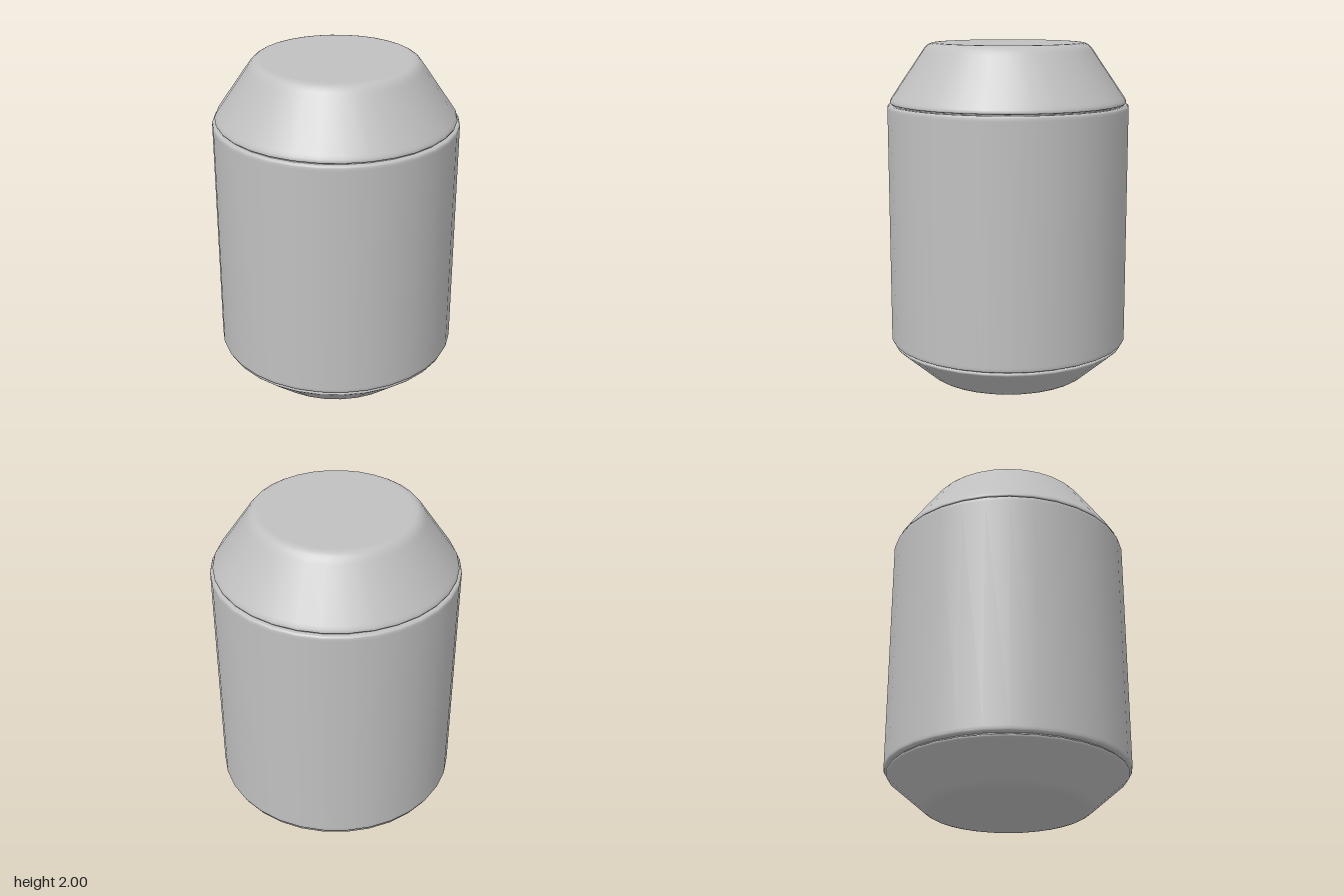
import * as THREE from 'three';

const SIDES = 32;

export function createModel() {
  const group = new THREE.Group();
  group.name = 'canister';
  const grey = new THREE.MeshStandardMaterial({ color: 0xc0c0c0 });
  grey.name = 'grey';

  // Each part is a closed turned solid; profile points run from bottom to top.
  const turn = (name, profile) => {
    const points = profile.map(([r, y]) => new THREE.Vector2(r, y));
    const mesh = new THREE.Mesh(new THREE.LatheGeometry(points, SIDES), grey);
    mesh.name = name;
    group.add(mesh);
  };

  // Shallow tapered base with rounded edges
  turn('base', [
    [0, 0], [0.42, 0], [0.44, 0.001], [0.463, 0.007], [0.485, 0.02], [0.5, 0.033],
    [0.675, 0.184], [0.69, 0.198], [0.695, 0.206], [0.692, 0.212], [0.682, 0.215],
    [0.67, 0.215], [0, 0.215],
  ]);

  // Narrow necks set back in the grooves
  turn('lowerNeck', [[0.68, 0.21], [0.68, 0.23]]);
  turn('upperNeck', [[0.68, 1.635], [0.68, 1.655]]);

  // Straight barrel with small bevels
  turn('barrel', [
    [0, 0.222], [0.685, 0.222], [0.697, 0.222], [0.706, 0.226], [0.71, 0.235], [0.71, 0.25],
    [0.71, 1.615], [0.71, 1.63], [0.706, 1.639], [0.697, 1.643], [0.685, 1.643], [0, 1.643],
  ]);

  // Tall tapered cap with a flat, round-edged top
  turn('cap', [
    [0, 1.65], [0.67, 1.65], [0.682, 1.65], [0.692, 1.653], [0.695, 1.66], [0.69, 1.673],
    [0.68, 1.689], [0.502, 1.95], [0.49, 1.967], [0.475, 1.984], [0.457, 1.995],
    [0.44, 1.999], [0.42, 2], [0, 2],
  ]);

  return group;
}
